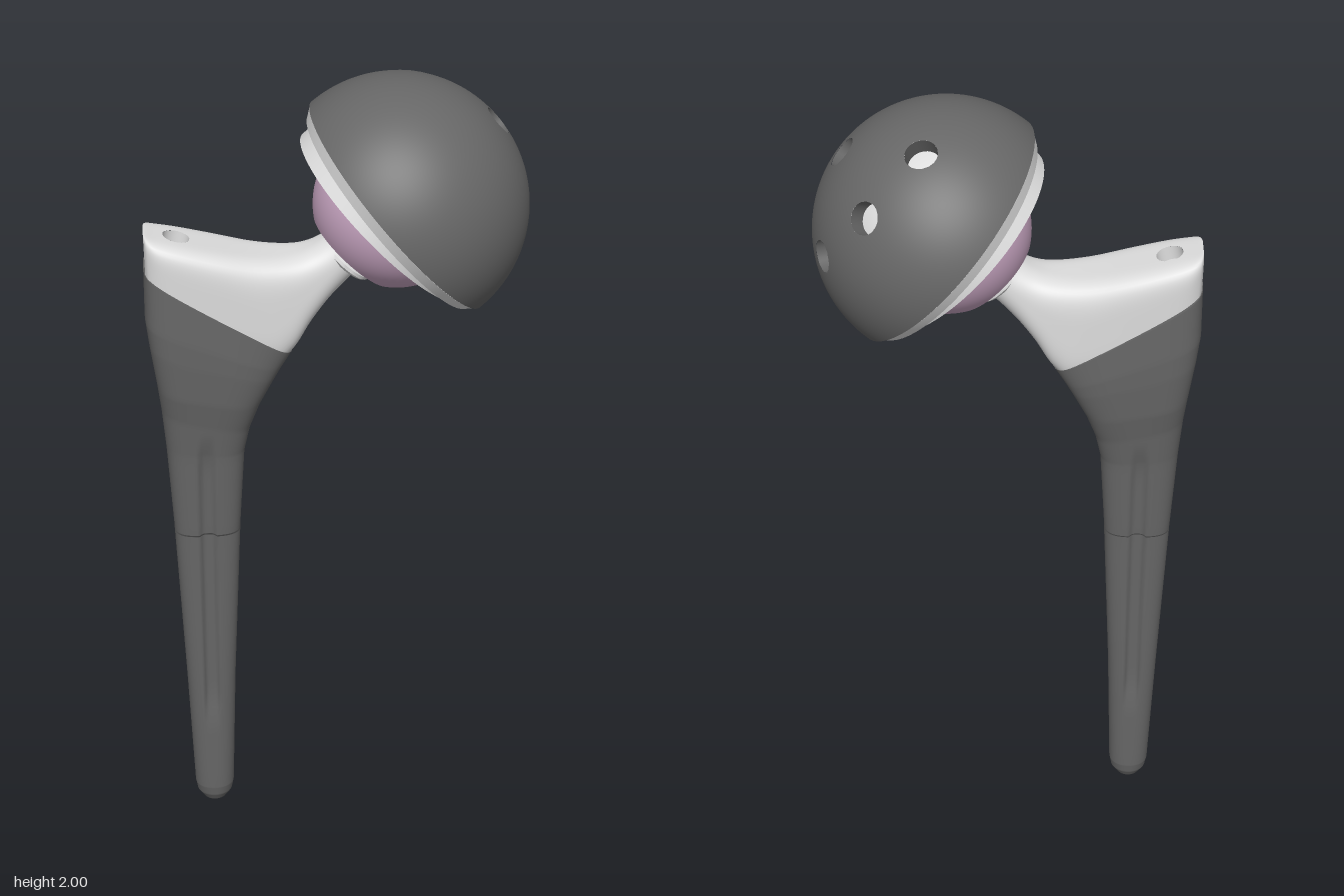
import * as THREE from 'three';
import { toCreasedNormals } from 'three/addons/utils/BufferGeometryUtils.js';

const material = (name, color, side = THREE.FrontSide) => {
  const m = new THREE.MeshStandardMaterial({ color, side });
  m.name = name;
  return m;
};

function addMesh(parent, name, geometry, mat) {
  const mesh = new THREE.Mesh(geometry, mat);
  mesh.name = name;
  parent.add(mesh);
  return mesh;
}

// Lofts rounded-box sections. Station: [x1, y1, x2, y2, half depth, squareness]
function loft(stations, steps, segs, smooth, rule) {
  const at = (i) => stations[Math.min(Math.max(i, 0), stations.length - 1)];
  const pos = [], index = [];
  const rows = (stations.length - 1) * steps;
  const ring = segs + 1;
  const sections = [];
  for (let r = 0; r <= rows; r++) {
    const i = Math.min(Math.floor(r / steps), stations.length - 2), t = r / steps - i;
    const [a, b, c, d] = [at(i - 1), at(i), at(i + 1), at(i + 2)];
    const s = b.map((v, k) => {
      if (!smooth) return v + (c[k] - v) * t;
      const m0 = (c[k] - a[k]) / 2, m1 = (d[k] - v) / 2;
      return v + m0 * t + (3 * (c[k] - v) - 2 * m0 - m1) * t * t + (2 * (v - c[k]) + m0 + m1) * t ** 3;
    });
    sections.push(s);
    const [x1, y1, x2, y2, depth, n] = s;
    for (let j = 0; j <= segs; j++) {
      const th = ((j % segs) / segs) * Math.PI * 2, cs = Math.cos(th), sn = Math.sin(th);
      const k = 1 / (Math.abs(cs) ** n + Math.abs(sn) ** n) ** (1 / n);
      const p = new THREE.Vector3(
        (x1 + x2) / 2 + ((x2 - x1) / 2) * cs * k,
        (y1 + y2) / 2 + ((y2 - y1) / 2) * cs * k,
        depth * sn * k);
      if (rule) rule(p, (x1 + x2) / 2);
      pos.push(p.x, p.y, p.z);
      if (r < rows && j < segs) {
        const q = r * ring + j;
        index.push(q, q + ring, q + 1, q + 1, q + ring, q + ring + 1);
      }
    }
  }
  // end caps with their own vertices
  for (const r of [0, rows]) {
    const [x1, y1, x2, y2] = sections[r], base = pos.length / 3;
    pos.push((x1 + x2) / 2, (y1 + y2) / 2, 0);
    pos.push(...pos.slice(r * ring * 3, (r + 1) * ring * 3));
    for (let j = 1; j <= segs; j++) {
      index.push(base, ...(r === 0 ? [base + j, base + j + 1] : [base + j + 1, base + j]));
    }
  }
  const g = new THREE.BufferGeometry();
  g.setAttribute('position', new THREE.Float32BufferAttribute(pos, 3));
  g.setIndex(index);
  g.computeVertexNormals();
  return g;
}

// Opens a round hole: drops the faces inside it and snaps the border to a circle
function punch(g, origin, axis, radius) {
  const p = g.attributes.position, inside = [], v = new THREE.Vector3();
  for (let i = 0; i < p.count; i++) {
    v.fromBufferAttribute(p, i).sub(origin);
    const along = v.dot(axis);
    v.addScaledVector(axis, -along);
    inside[i] = along > 0 && v.length() < radius;
    if (inside[i] && v.length() > 1e-6) {
      v.setLength(radius).addScaledVector(axis, along).add(origin);
      p.setXYZ(i, v.x, v.y, v.z);
    }
  }
  const old = g.index.array, kept = [];
  for (let i = 0; i < old.length; i += 3) {
    const f = [old[i], old[i + 1], old[i + 2]];
    if (!f.every((k) => inside[k])) kept.push(...f);
  }
  g.setIndex(kept);
}

// Tube wall of a hole, between two distances along its axis
function holeWall(parent, name, origin, axis, radius, from, to, mat) {
  const wall = addMesh(parent, name, new THREE.CylinderGeometry(radius, radius, to - from, 32, 1, true), mat);
  wall.quaternion.setFromUnitVectors(new THREE.Vector3(0, 1, 0), axis);
  wall.position.copy(origin).addScaledVector(axis, (from + to) / 2);
  return wall;
}

const arc = (r, a0, a1, n) => Array.from({ length: n + 1 }, (_, i) => {
  const a = a0 + ((a1 - a0) * i) / n;
  return new THREE.Vector2(Math.max(0, r * Math.cos(a)), r * Math.sin(a));
});
const pts = (list) => list.map(([x, y]) => new THREE.Vector2(x, y));

export function createModel() {
  const model = new THREE.Group();
  model.name = 'hipImplant';
  const dark = material('dark rough metal', 0x666666);
  const darkOpen = material('dark hole metal', 0x666666, THREE.DoubleSide);
  const light = material('polished light metal', 0xdcdcdc);
  const lightOpen = material('light hole metal', 0xdcdcdc, THREE.DoubleSide);
  const pink = material('pink ceramic', 0xc4a2be);

  // Tapered stem with a long shallow groove front and back
  const stem = loft([
    [-0.33, 0, -0.31, 0, 0.01, 2],
    [-0.35, 0.01, -0.29, 0.01, 0.03, 2],
    [-0.365, 0.032, -0.275, 0.032, 0.043, 2],
    [-0.37, 0.06, -0.27, 0.06, 0.048, 2.2],
    [-0.383, 0.4, -0.259, 0.4, 0.052, 2.6],
    [-0.402, 0.835, -0.239, 0.835, 0.056, 3],
    [-0.402, 0.842, -0.239, 0.842, 0.061, 3],
    [-0.415, 1.07, -0.225, 1.06, 0.071, 3],
    [-0.424, 1.18, -0.21, 1.13, 0.082, 3.2],
    [-0.432, 1.25, -0.185, 1.2, 0.096, 3.6],
    [-0.447, 1.36, -0.15, 1.27, 0.104, 4],
    [-0.455, 1.43, -0.133, 1.3, 0.106, 4],
    [-0.454, 1.555, -0.107, 1.34, 0.103, 4],
  ], 8, 96, false, (p, mid) => {
    const across = Math.max(0, 1 - (Math.abs(p.x - mid) / 0.02) ** 4);
    const along = THREE.MathUtils.smoothstep(p.y, 0.26, 0.36) * (1 - THREE.MathUtils.smoothstep(p.y, 1.02, 1.14));
    p.z -= Math.sign(p.z) * 0.012 * across * along;
  });
  addMesh(model, 'stem', stem, dark);

  // Polished shoulder sweeping into the neck
  const shoulder = loft([
    [-0.452, 1.646, -0.449, 1.5, 0.045, 6],
    [-0.445, 1.645, -0.44, 1.48, 0.066, 6],
    [-0.42, 1.638, -0.41, 1.46, 0.083, 5],
    [-0.37, 1.626, -0.36, 1.42, 0.092, 5],
    [-0.29, 1.606, -0.27, 1.36, 0.096, 5],
    [-0.21, 1.588, -0.16, 1.315, 0.095, 4.5],
    [-0.15, 1.581, -0.107, 1.345, 0.09, 4],
    [-0.1, 1.583, -0.062, 1.413, 0.082, 3.2],
    [-0.065, 1.594, -0.02, 1.465, 0.073, 2.6],
    [-0.035, 1.612, 0.02, 1.505, 0.066, 2.2],
    [-0.012, 1.632, 0.06, 1.54, 0.06, 2],
  ], 8, 96, true);
  const socketAxis = new THREE.Vector3(0.22, 0.975, 0).normalize();
  const socket = new THREE.Vector3(-0.375, 1.627, 0).addScaledVector(socketAxis, -0.04);
  punch(shoulder, socket, socketAxis, 0.032);
  addMesh(model, 'shoulderAndNeck', shoulder, light);
  holeWall(model, 'socketWall', socket, socketAxis, 0.032, 0, 0.04, lightOpen);
  const floor = addMesh(model, 'socketFloor', new THREE.CircleGeometry(0.032, 32), light);
  floor.position.copy(socket).addScaledVector(socketAxis, 0.005);
  floor.quaternion.setFromUnitVectors(new THREE.Vector3(0, 0, 1), socketAxis);

  // Ball head and neck collar share the neck's axis
  const head = new THREE.Group();
  head.name = 'head';
  head.position.set(0.143, 1.692, 0);
  head.rotation.z = -0.736;
  model.add(head);
  const ball = new THREE.LatheGeometry([...pts([[0.06, -0.155], [0.118, -0.155]]),
    ...arc(0.197, -0.9, Math.PI / 2, 40)], 72);
  addMesh(head, 'ball', toCreasedNormals(ball, 0.5), pink);
  const collar = new THREE.LatheGeometry(pts([[0.05, -0.19], [0.066, -0.188], [0.073, -0.182],
    [0.073, -0.174], [0.066, -0.169], [0.066, -0.13]]), 48);
  addMesh(head, 'neckCollar', toCreasedNormals(collar, 0.8), light);

  // Cup assembly, opening toward local -y
  const cup = new THREE.Group();
  cup.name = 'cup';
  cup.position.set(0.143, 1.69, 0);
  cup.rotation.z = -0.858;
  model.add(cup);
  const shell = new THREE.SphereGeometry(0.31, 144, 48, 0, Math.PI * 2, 0, Math.PI / 2);
  const centre = new THREE.Vector3();
  const holes = [new THREE.Vector3(0, 1, 0)];
  for (const [polar, turn] of [[0.8, -0.91], [0.73, 0], [0.8, 0.91]]) {
    holes.push(new THREE.Vector3(Math.sin(polar) * Math.sin(turn), Math.cos(polar), -Math.sin(polar) * Math.cos(turn)));
  }
  holes.forEach((axis) => {
    punch(shell, centre, axis, 0.038);
    holeWall(cup, 'screwHoleWall', centre, axis, 0.038, 0.262, 0.3077, darkOpen);
  });
  addMesh(cup, 'cupShell', shell, dark);

  // Liner with a stepped rim and a lip that is taller on its upper side
  const liner = new THREE.LatheGeometry([
    ...arc(0.2, Math.PI / 2, 0, 20),
    ...pts([[0.215, -0.05], [0.266, -0.05], [0.268, -0.026], [0.29, -0.026], [0.308, -0.001], [0.268, 0]]),
    ...arc(0.268, 0.01, Math.PI / 2, 24),
  ], 96);
  const lp = liner.attributes.position;
  for (let i = 0; i < lp.count; i++) {
    if (lp.getY(i) < -0.04) lp.setY(i, -0.047 + 0.075 * lp.getX(i));
  }
  addMesh(cup, 'liner', toCreasedNormals(liner, 0.4), light);
  return model;
}
